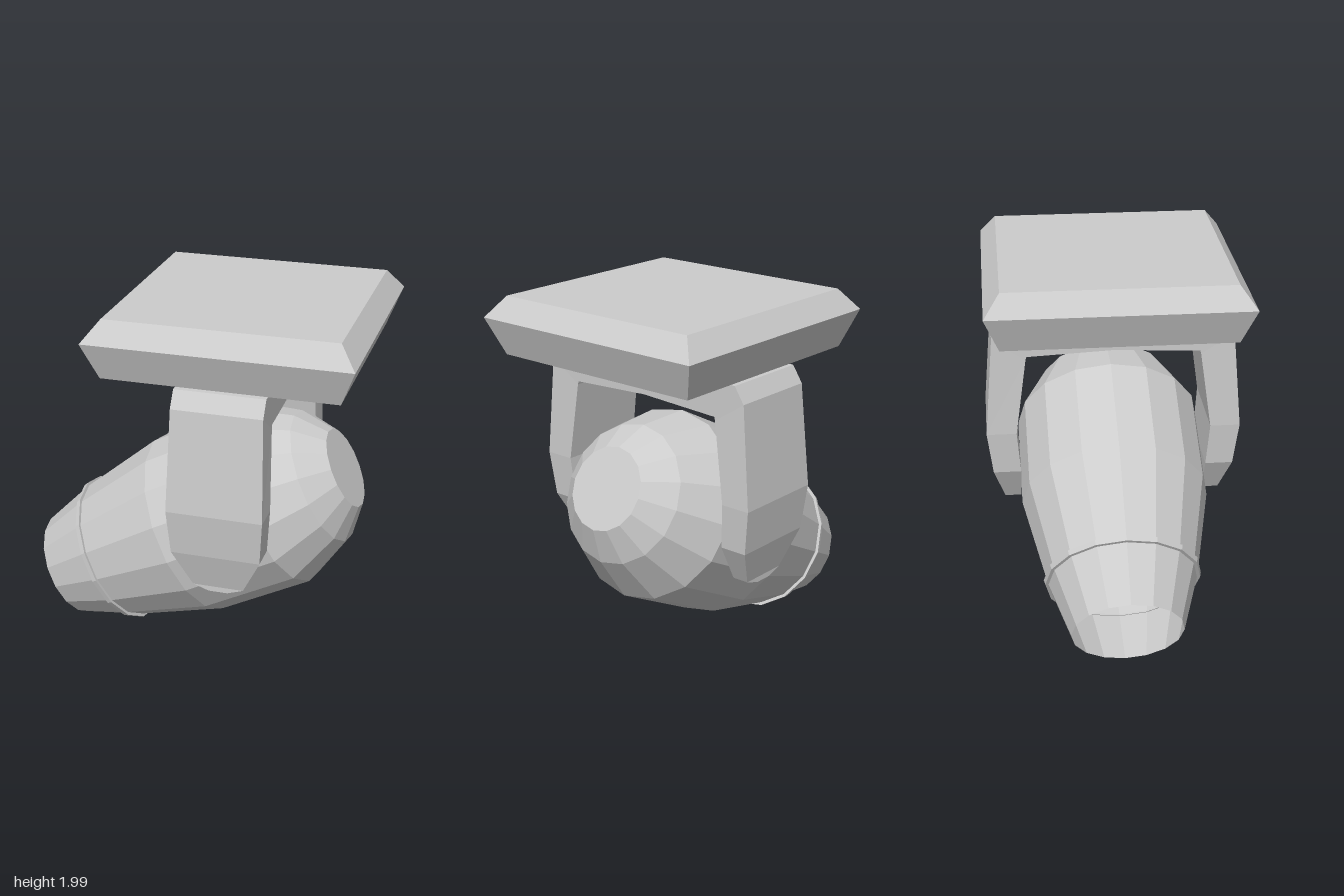
import * as THREE from 'three';

const grey = () => new THREE.MeshStandardMaterial({ color: 0xcccccc, flatShading: true });

// Revolve a list of [radius, height] points
function lathe(name, points, sides, material = grey()) {
  const profile = points.map(([r, h]) => new THREE.Vector2(r, h));
  const mesh = new THREE.Mesh(new THREE.LatheGeometry(profile, sides), material);
  mesh.name = name;
  return mesh;
}

// Yoke: rectangular cross-sections swept from one arm tip over the top to the other
function yokeGeometry() {
  // [outer z, outer y, inner z, inner y, half width]
  const side = [
    [0.60, 0.58, 0.51, 0.58, 0.05],
    [0.60, 0.608, 0.51, 0.608, 0.133],
    [0.66, 0.81, 0.51, 0.81, 0.233],
    [0.69, 1.05, 0.528, 1.05, 0.25],
    [0.645, 1.59, 0.468, 1.475, 0.235],
    [0.59, 1.675, 0.463, 1.493, 0.235],
  ];
  const mirrored = side.map(([oz, oy, iz, iy, w]) => [-oz, oy, -iz, iy, w]).reverse();
  const sections = [...side, [0, 1.695, 0, 1.515, 0.235], ...mirrored];
  const positions = [];
  const index = [];
  sections.forEach(([oz, oy, iz, iy, w], i) => {
    positions.push(-w, oy, oz, w, oy, oz, w, iy, iz, -w, iy, iz);
    if (i === sections.length - 1) return;
    for (let j = 0; j < 4; j++) {
      const a = i * 4 + j;
      const b = i * 4 + (j + 1) % 4;
      index.push(a, b, b + 4, a, b + 4, a + 4);
    }
  });
  const n = (sections.length - 1) * 4;
  index.push(0, 2, 1, 0, 3, 2, n, n + 1, n + 2, n, n + 2, n + 3);
  const geometry = new THREE.BufferGeometry();
  geometry.setAttribute('position', new THREE.Float32BufferAttribute(positions, 3));
  geometry.setIndex(index);
  const flat = geometry.toNonIndexed();
  flat.computeVertexNormals();
  return flat;
}

export function createModel() {
  const model = new THREE.Group();
  model.name = 'spotlight';

  // Square ceiling plate with bevelled sides
  const k = Math.SQRT2;
  const plate = lathe('ceilingPlate',
    [[0, 1.695], [0.605 * k, 1.695], [0.68 * k, 1.89], [0.595 * k, 2], [0, 2]], 4);
  plate.rotation.y = Math.PI / 4;
  plate.position.x = 0.245;
  model.add(plate);

  // Yoke holding the lamp on both sides
  const yoke = new THREE.Mesh(yokeGeometry(), grey());
  yoke.name = 'yoke';
  yoke.position.x = 0.25;
  model.add(yoke);

  // Tilted lamp head, measured along its axis from the open mouth
  const head = new THREE.Group();
  head.name = 'lampHead';
  head.position.set(-0.79, 0.27, 0);
  head.rotation.z = -1.089;
  model.add(head);

  const shellMaterial = grey();
  shellMaterial.side = THREE.DoubleSide;
  head.add(lathe('lampShell',
    [[0.296, 0], [0.4, 0.32], [0.51, 0.828], [0.51, 1.37], [0.367, 1.635], [0.219, 1.767], [0, 1.767]],
    16, shellMaterial));

  // Thin raised band near the mouth
  head.add(lathe('band',
    [[0.39, 0.307], [0.413, 0.307], [0.42, 0.334], [0.395, 0.334]], 16));

  return model;
}
